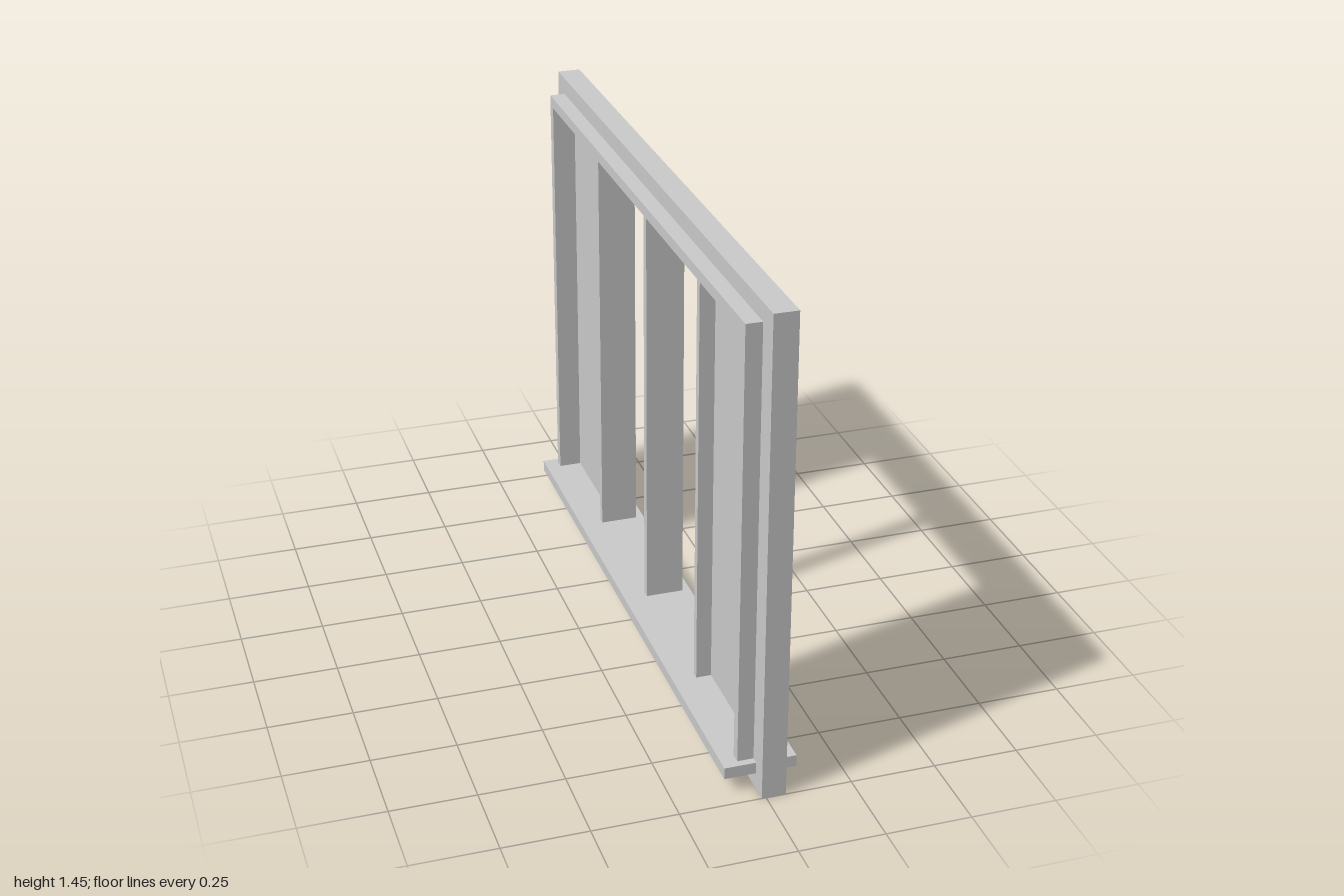
import * as THREE from 'three';

const material = new THREE.MeshStandardMaterial({ color: 0xcccccc, flatShading: true });

// Box spanning [x0,x1] x [y0,y1] x [z0,z1]
function block(name, [x0, x1], [y0, y1], [z0, z1]) {
  const mesh = new THREE.Mesh(new THREE.BoxGeometry(x1 - x0, y1 - y0, z1 - z0), material);
  mesh.position.set((x0 + x1) / 2, (y0 + y1) / 2, (z0 + z1) / 2);
  mesh.name = name;
  return mesh;
}

// Rectangular ring in the z-y plane, extruded along x
function ring(name, [x0, x1], outer, inner) {
  const corners = ({ half, y0, y1 }) =>
    [[-half, y0], [half, y0], [half, y1], [-half, y1]].map(([a, b]) => new THREE.Vector2(a, b));
  const shape = new THREE.Shape(corners(outer));
  shape.holes.push(new THREE.Path(corners(inner).reverse()));
  const geometry = new THREE.ExtrudeGeometry(shape, { depth: x1 - x0, bevelEnabled: false });
  geometry.rotateY(Math.PI / 2).translate(x0, 0, 0);
  const mesh = new THREE.Mesh(geometry, material);
  mesh.name = name;
  return mesh;
}

export function createModel() {
  const model = new THREE.Group();
  model.name = 'window';

  const sillTop = 0.085, headBottom = 1.365;
  const opening = [sillTop, headBottom];
  const lining = [-0.06, 0.08];

  // Outer casing
  model.add(ring('outerCasing', [-0.013, 0.057],
    { half: 1, y0: 0, y1: 1.45 }, { half: 0.928, y0: 0.05, y1: 1.398 }));

  // Sill projecting on both faces
  model.add(block('sill', [-0.105, 0.105], [0.05, sillTop], [-0.95, 0.95]));

  // Inner lining: head and two jambs
  model.add(block('liningHead', lining, [headBottom, 1.398], [-0.928, 0.928]));
  for (const s of [-1, 1]) {
    const side = s > 0 ? 'front' : 'back';
    const span = (a, b) => (s > 0 ? [a, b] : [-b, -a]);
    model.add(block(side + 'Jamb', lining, opening, span(0.897, 0.928)));
    // Solid side panel and the mullion beside it
    model.add(block(side + 'Panel', [0.01, 0.036], opening, span(0.495, 0.897)));
    model.add(block(side + 'Mullion', [-0.035, 0.08], opening, span(0.473, 0.496)));
  }

  // Centre mullion
  model.add(block('centreMullion', [-0.035, 0.08], opening, [-0.011, 0.015]));

  return model;
}
